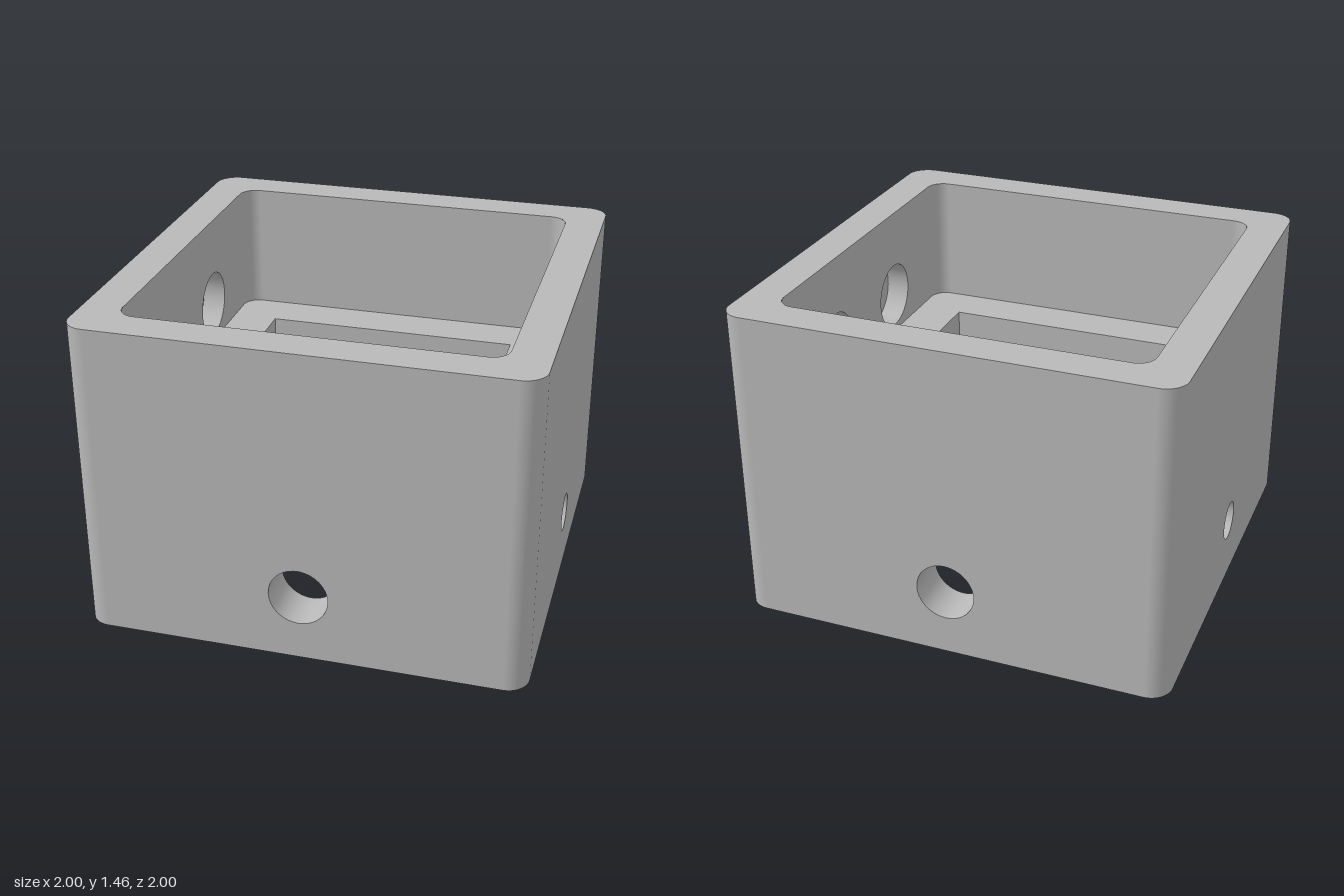
import * as THREE from 'three';
import { mergeGeometries } from 'three/addons/utils/BufferGeometryUtils.js';

const HEIGHT = 1.46, SHELF_TOP = 0.855, SHELF_BOTTOM = 0.69;
const OUTER = { half: 1, r: 0.1 };
const UPPER = { half: 0.825, r: 0.08 };
const OPENING = { half: 0.61, r: 0 };
const LOWER = { half: 0.8, r: 0 };
const POCKET_DEPTH = 0.11;

// Cross holes through the lower walls: large front and back, small on the sides
const crossHole = k => [{ x: 0, y: 0.31, r: k % 2 ? 0.09 : 0.133 }];
// Pairs of blind pockets inside the upper side walls
const pockets = k => k % 2 ? [-0.31, 0.31].map(x => ({ x, y: 1.04, r: 0.155 })) : [];
const noHoles = () => [];

// Turn a geometry inside out
function invert(g) {
  const idx = g.index.array;
  for (let i = 0; i < idx.length; i += 3) [idx[i], idx[i + 1]] = [idx[i + 1], idx[i]];
  const n = g.attributes.normal;
  for (let i = 0; i < n.array.length; i++) n.array[i] *= -1;
  return g;
}

const quarter = (g, k) => g.rotateY(k * Math.PI / 2);

// Four upright walls with rounded corners and round cut-outs
function walls({ half, r }, y0, y1, holes) {
  const parts = [], w = half - r;
  for (let k = 0; k < 4; k++) {
    const s = new THREE.Shape();
    s.moveTo(-w, y0).lineTo(w, y0).lineTo(w, y1).lineTo(-w, y1).closePath();
    for (const h of holes(k)) s.holes.push(new THREE.Path().absarc(h.x, h.y, h.r, 0, Math.PI * 2, true));
    parts.push(quarter(new THREE.ShapeGeometry(s, 24).translate(0, 0, half), k));
    if (r > 0) {
      const corner = new THREE.CylinderGeometry(r, r, y1 - y0, 12, 1, true, 0, Math.PI / 2);
      parts.push(quarter(corner.translate(w, (y0 + y1) / 2, w), k));
    }
  }
  return mergeGeometries(parts);
}

// Trace a square with rounded corners
function squarePath(path, { half, r }) {
  const w = half - r;
  if (r === 0) {
    path.moveTo(w, w).lineTo(-w, w).lineTo(-w, -w).lineTo(w, -w).closePath();
  } else {
    [[w, w], [-w, w], [-w, -w], [w, -w]].forEach(([x, y], i) =>
      path.absarc(x, y, r, i * Math.PI / 2, (i + 1) * Math.PI / 2, false));
    path.closePath();
  }
  return path;
}

// Flat horizontal frame between two squares, facing up or down
function frame(outer, inner, y, up) {
  const s = squarePath(new THREE.Shape(), outer);
  s.holes.push(squarePath(new THREE.Path(), inner));
  return new THREE.ShapeGeometry(s, 12).rotateX(up ? -Math.PI / 2 : Math.PI / 2).translate(0, y, 0);
}

// Lining of a round hole between two distances from the centre
function bore(h, z0, z1, k) {
  const g = new THREE.CylinderGeometry(h.r, h.r, z1 - z0, 48, 1, true).rotateX(Math.PI / 2);
  return invert(quarter(g.translate(h.x, h.y, (z0 + z1) / 2), k));
}

export function createModel() {
  const group = new THREE.Group();
  group.name = 'squareSocket';
  const grey = new THREE.MeshStandardMaterial({ color: 0xb8b8b8 });
  grey.name = 'grey';
  const add = (name, geometry) => {
    const mesh = new THREE.Mesh(geometry, grey);
    mesh.name = name;
    group.add(mesh);
  };

  // Body walls
  add('outerWalls', walls(OUTER, 0, HEIGHT, crossHole));
  add('upperCavityWalls', invert(walls(UPPER, SHELF_TOP, HEIGHT, pockets)));
  add('shelfOpening', invert(walls(OPENING, SHELF_BOTTOM, SHELF_TOP, noHoles)));
  add('lowerCavityWalls', invert(walls(LOWER, 0, SHELF_BOTTOM, crossHole)));

  // Rims and shelf
  add('topRim', frame(OUTER, UPPER, HEIGHT, true));
  add('shelfTop', frame(UPPER, OPENING, SHELF_TOP, true));
  add('shelfUnderside', frame(LOWER, OPENING, SHELF_BOTTOM, false));
  add('bottomRim', frame(OUTER, LOWER, 0, false));

  // Hole linings and pocket floors
  for (let k = 0; k < 4; k++) {
    for (const h of crossHole(k)) add('crossHole', bore(h, LOWER.half, OUTER.half, k));
    for (const h of pockets(k)) {
      const end = UPPER.half + POCKET_DEPTH;
      add('pocketWall', bore(h, UPPER.half, end, k));
      add('pocketFloor', invert(quarter(new THREE.CircleGeometry(h.r, 48).translate(h.x, h.y, end), k)));
    }
  }
  return group;
}
